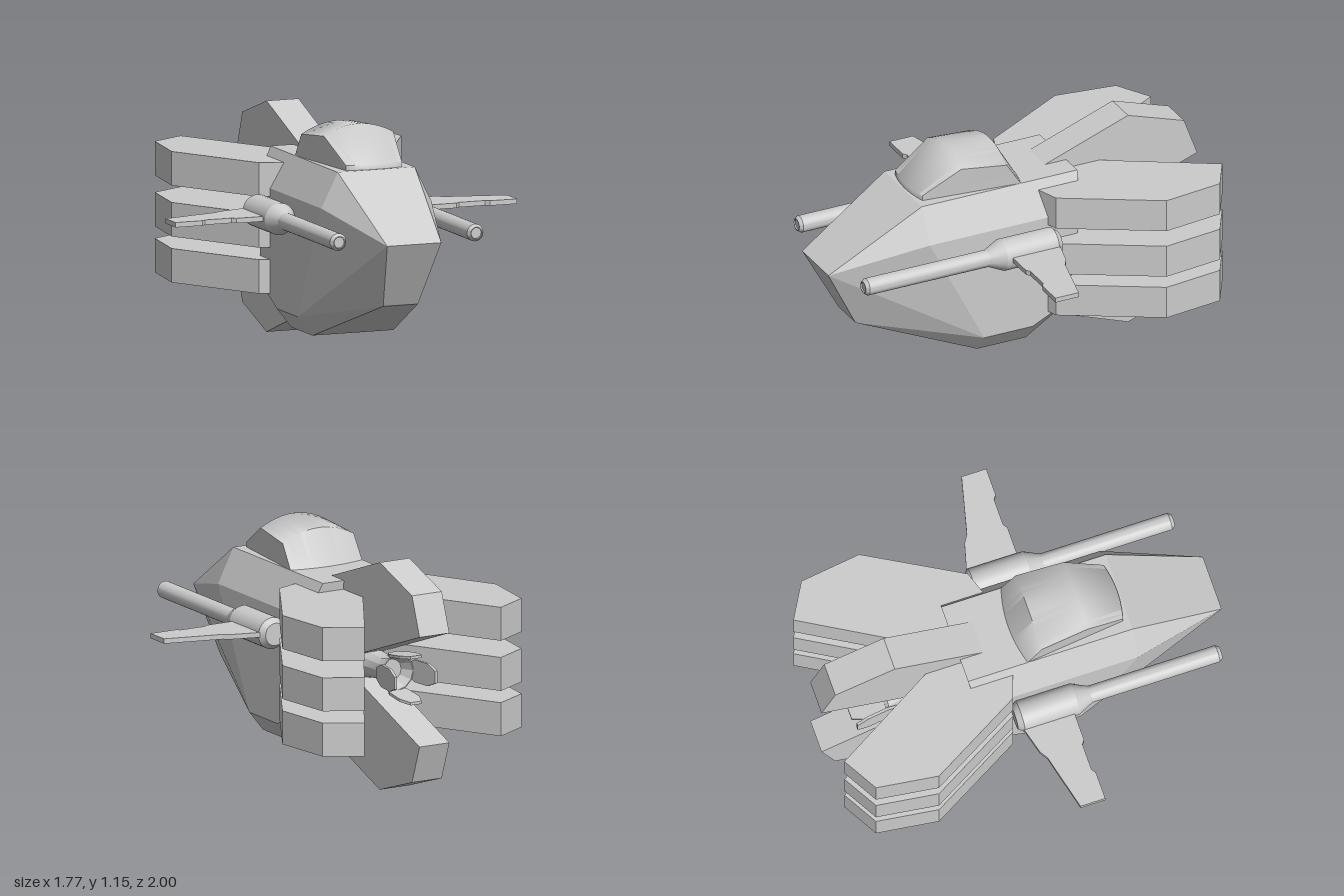
import * as THREE from 'three';
import { toCreasedNormals } from 'three/addons/utils/BufferGeometryUtils.js';
import { ConvexGeometry } from 'three/addons/geometries/ConvexGeometry.js';

const grey = new THREE.MeshStandardMaterial({ color: 0xcccccc });
const flat = new THREE.MeshStandardMaterial({ color: 0xcccccc, flatShading: true });

function add(parent, name, geometry, material = flat) {
  const mesh = new THREE.Mesh(geometry, material);
  mesh.name = name;
  parent.add(mesh);
  return mesh;
}

function extrude(points, depth) {
  const shape = new THREE.Shape(points.map(([a, b]) => new THREE.Vector2(a, b)));
  return new THREE.ExtrudeGeometry(shape, { depth, bevelEnabled: false });
}

// Horizontal plate from an (x, z) outline, mirrored by side
function slab(outline, yBottom, yTop, side = 1) {
  return extrude(outline.map(([x, z]) => [x * side, z]), yTop - yBottom)
    .rotateX(Math.PI / 2).translate(0, yTop, 0);
}

// Body of revolution along z from [radius, z] pairs
function turned(profile, segments) {
  const geo = new THREE.LatheGeometry(profile.map(([r, z]) => new THREE.Vector2(r, z)), segments);
  return toCreasedNormals(geo.rotateX(Math.PI / 2), 0.4);
}

// Canopy: arched stations running front to back, with upright side walls
function canopyGeometry() {
  // half width, edge y, centre y, edge z, centre z
  const stations = [
    [0.145, 0.95, 0.95, 0.5, 0.52], [0.145, 0.985, 0.985, 0.5, 0.52],
    [0.18, 1.1, 1.15, 0.31, 0.31], [0.198, 1.075, 1.13, 0.075, 0.07],
    [0.2, 0.95, 0.95, -0.005, -0.035],
  ];
  const n = 12, pos = [], idx = [];
  for (const [w, ye, yc, ze, zc] of stations) {
    for (let i = 0; i <= n; i++) {
      const t = (i / n) * 2 - 1, k = 1 - t * t;
      pos.push(w * t, ye + (yc - ye) * k, ze + (zc - ze) * k);
    }
  }
  for (let s = 0; s < stations.length - 1; s++) {
    for (let i = 0; i < n; i++) {
      const a = s * (n + 1) + i, b = a + n + 1;
      idx.push(a, a + 1, b, a + 1, b + 1, b);
    }
  }
  // side walls as fans over the station edges
  for (let s = 1; s < stations.length - 1; s++) {
    const l = (k) => k * (n + 1), r = (k) => k * (n + 1) + n;
    idx.push(l(0), l(s), l(s + 1), r(0), r(s + 1), r(s));
  }
  const geo = new THREE.BufferGeometry();
  geo.setAttribute('position', new THREE.Float32BufferAttribute(pos, 3));
  geo.setIndex(idx);
  return toCreasedNormals(geo, 0.95);
}

export function createModel() {
  const model = new THREE.Group();
  model.name = 'spacecraft';

  // Faceted hull
  const hullHalf = [
    [0.14, 0.67, 1], [0.09, 0.35, 0.83],
    [0.2, 0.96, 0.53], [0.285, 0.79, 0.53],
    [0.285, 0.22, 0.24], [0.21, 0.125, 0.24],
    [0.285, 0.22, -0.02], [0.21, 0.125, -0.02],
    [0.2, 0.96, -0.3], [0.285, 0.79, -0.277],
    [0.285, 0.31, -0.205], [0.2, 0.25, -0.197],
  ];
  add(model, 'hull', new ConvexGeometry(hullHalf.flatMap(([x, y, z]) =>
    [new THREE.Vector3(x, y, z), new THREE.Vector3(-x, y, z)])));

  add(model, 'canopy', canopyGeometry(), grey);

  // Upper and lower tail fins, given as (z, distance from mid height)
  const tailFin = [[-0.13, 0.38], [-0.63, 0.56], [-0.93, 0.46], [-1, 0.27], [-0.25, 0], [-0.13, 0.05]];
  for (const [name, s] of [['upperTailFin', 1], ['lowerTailFin', -1]]) {
    add(model, name, extrude(tailFin.map(([z, d]) => [z, 0.56 + s * d]), 0.166)
      .rotateY(-Math.PI / 2).translate(0.083, 0, 0));
  }

  const sideFin = [[0.15, -0.055], [0.335, -0.12], [0.595, -0.58], [0.555, -0.885],
    [0.38, -0.985], [0.06, -0.436], [0.06, -0.2]];
  const wing = [[0.38, -0.1], [0.43, -0.095], [0.56, -0.06], [0.6, -0.035], [0.885, 0.035],
    [0.885, 0.16], [0.745, 0.16], [0.725, 0.145], [0.59, 0.145], [0.57, 0.16], [0.38, 0.16]];
  const gun = [[0, -0.118], [0.055, -0.118], [0.078, -0.09], [0.078, 0.185], [0.042, 0.262],
    [0.042, 0.905], [0.03, 0.922], [0.026, 0.922], [0.026, 0.915], [0, 0.915]];

  for (const [prefix, side] of [['left', 1], ['right', -1]]) {
    // Three stacked side fins
    [0.28, 0.503, 0.75].forEach((y, i) =>
      add(model, `${prefix}SideFin${i + 1}`, slab(sideFin, y, y + 0.165, side)));
    // Gun pod with its small wing
    add(model, `${prefix}Gun`, turned(gun, 28).translate(0.355 * side, 0.69, 0), grey);
    add(model, `${prefix}Wing`, slab(wing, 0.68, 0.704, side));
  }

  // Engine nozzle with four flared petals
  const engine = new THREE.Group();
  engine.name = 'engine';
  engine.position.y = 0.572;
  model.add(engine);
  add(engine, 'nozzle', turned([[0, -0.6], [0.055, -0.6], [0.085, -0.66], [0.09, -0.66],
    [0.06, -0.55], [0.07, -0.45], [0.12, -0.22], [0, -0.22]], 12), grey);
  const petal = [[-0.025, -0.61], [0.025, -0.61], [0.055, -0.67], [0.055, -0.77],
    [0.03, -0.83], [-0.03, -0.83], [-0.055, -0.77], [-0.055, -0.67]];
  for (let i = 0; i < 4; i++) {
    const geo = slab(petal, 0.078, 0.092);
    const p = geo.attributes.position;
    for (let v = 0; v < p.count; v++) p.setY(v, p.getY(v) + (-0.61 - p.getZ(v)) * 0.13);
    add(engine, `petal${i + 1}`, geo).rotation.z = (i * Math.PI) / 2;
  }

  return model;
}
